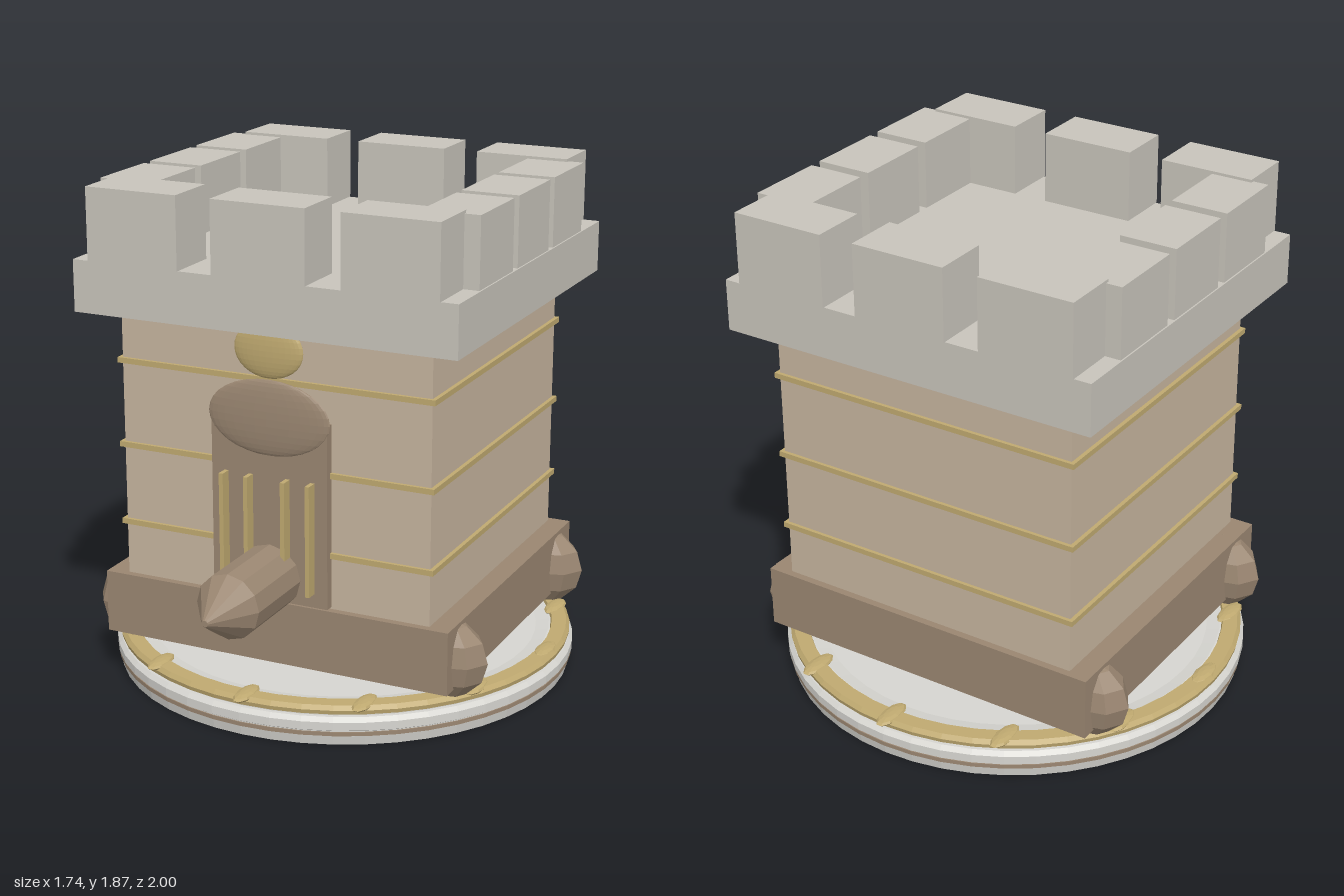
import * as THREE from 'three';

const CZ = -0.105; // depth of the tower axis

const mat = (name, color, flatShading = false) => {
  const m = new THREE.MeshStandardMaterial({ color, flatShading });
  m.name = name;
  return m;
};

export function createModel() {
  const root = new THREE.Group();
  const stone = mat('stone', 0xc8c4bb, true);
  const sand = mat('sandWall', 0xc6b49e, true);
  const brown = mat('brownWood', 0x9a8671, true);
  const gold = mat('gold', 0xbfa970, true);
  const pale = mat('paleStone', 0xd6d5d0, true);

  const add = (name, geo, material, x = 0, y = 0, z = CZ, parent = root) => {
    const m = new THREE.Mesh(geo, material);
    m.name = name;
    m.position.set(x, y, z);
    parent.add(m);
    return m;
  };
  // Box given by its full size and the height of its bottom
  const box = (name, w, h, d, material, x, y0, z) =>
    add(name, new THREE.BoxGeometry(w, h, d), material, x, y0 + h / 2, z);
  const ellipsoid = (name, rx, ry, rz, ws, hs, material, x, y, z) =>
    add(name, new THREE.SphereGeometry(1, ws, hs).scale(rx, ry, rz), material, x, y, z);
  const lathe = (name, pts, material) =>
    add(name, new THREE.LatheGeometry(pts.map(p => new THREE.Vector2(...p)), 48), material);

  // Round base with a stepped rim
  lathe('baseDisk', [[0, 0], [0.855, 0], [0.862, 0.035], [0.862, 0.055], [0.87, 0.06],
    [0.87, 0.09], [0.855, 0.105], [0.84, 0.105], [0.84, 0.12], [0.78, 0.135], [0.73, 0.125], [0, 0.125]], pale);
  lathe('baseGroove', [[0.85, 0.037], [0.866, 0.037], [0.866, 0.052], [0.85, 0.052]], brown);
  lathe('baseGoldRing', [[0.78, 0.115], [0.855, 0.115], [0.858, 0.13], [0.845, 0.145],
    [0.79, 0.145], [0.78, 0.115]], gold);
  for (let i = 0; i < 12; i++) {
    const a = i * Math.PI / 6;
    ellipsoid('baseBead', 0.035, 0.014, 0.08, 10, 6, gold,
      0.815 * Math.sin(a), 0.14, CZ + 0.815 * Math.cos(a));
  }

  // Undercarriage and faceted wheels
  box('plinth', 1.36, 0.235, 1.235, brown, 0, 0.182, CZ);
  for (const x of [-0.62, 0.62]) for (const z of [0.385, -0.597])
    ellipsoid('wheel', 0.16, 0.148, 0.105, 8, 6, brown, x, 0.27, z);

  // Tower walls and gold bands
  box('towerWall', 1.2, 1.0, 1.18, sand, 0, 0.417, CZ);
  for (const y of [0.62, 0.915, 1.23])
    box('wallBand', 1.23, 0.02, 1.206, gold, 0, y - 0.01, CZ);

  // Parapet and battlements
  box('parapet', 1.46, 0.19, 1.385, stone, 0, 1.415, CZ);
  for (const s of [-1, 1]) {
    for (const x of [-0.488, 0, 0.488])
      box('endMerlon', 0.356, 0.265, 0.21, stone, x, 1.605, CZ + s * 0.593);
    for (const dz of [-0.35, 0, 0.35])
      box('sideMerlon', 0.213, 0.255, 0.304, stone, s * 0.618, 1.605, CZ + dz);
  }

  // Gate with rounded head, crest and bars
  box('gate', 0.45, 0.675, 0.05, brown, 0, 0.425, 0.495);
  ellipsoid('gateArch', 0.235, 0.138, 0.022, 32, 16, brown, 0, 1.102, 0.518);
  ellipsoid('gateCrest', 0.133, 0.102, 0.022, 32, 16, gold, 0, 1.345, 0.515);
  for (const x of [-0.168, -0.072, 0.072, 0.168])
    box('gateBar', 0.016, 0.41, 0.045, gold, x, 0.478, 0.542);

  // Pointed ram
  const ram = new THREE.Group();
  ram.name = 'ram';
  ram.position.set(0, 0.515, 0);
  root.add(ram);
  const rod = (name, rTip, rBack, z0, z1) => add(name,
    new THREE.CylinderGeometry(rTip, rBack, z1 - z0, 12).rotateX(Math.PI / 2),
    brown, 0, 0, (z0 + z1) / 2, ram);
  rod('ramShaft', 0.12, 0.12, 0.5, 0.835);
  rod('ramTip', 0.012, 0.12, 0.835, 1.0);

  return root;
}
